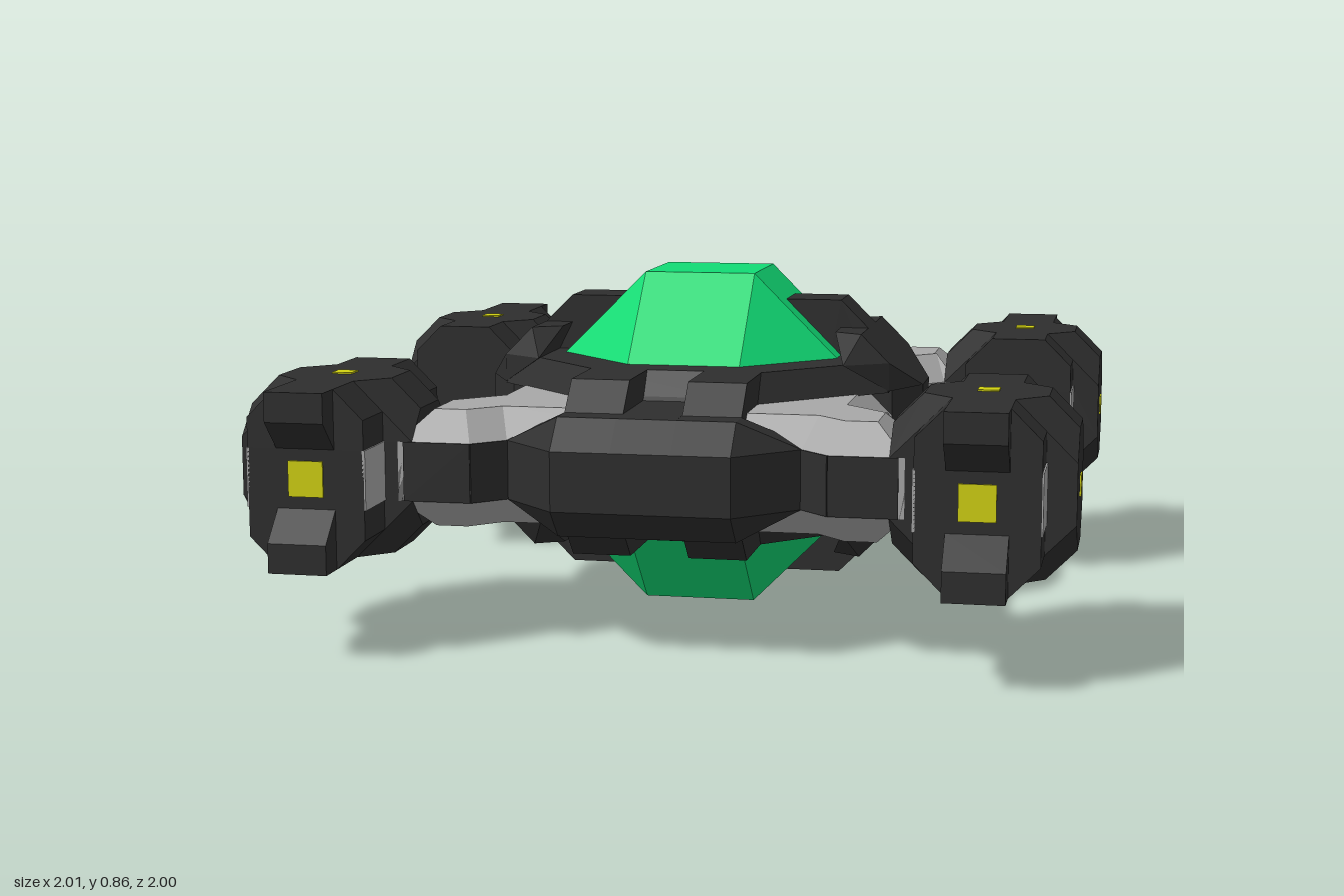
import * as THREE from 'three';
import { ConvexGeometry } from 'three/addons/geometries/ConvexGeometry.js';

// Everything is laid out on a grid of 1/14 unit, centred on the origin.
const mat = (name, color) => {
  const m = new THREE.MeshStandardMaterial({ color });
  m.name = name;
  return m;
};

export function createModel() {
  const black = mat('charcoal', 0x2e2e2e);
  const grey = mat('light grey', 0xa8a8a8);
  const green = mat('green', 0x11db74);
  const yellow = mat('yellow', 0xd2d211);

  const model = new THREE.Group();
  model.name = 'ship';
  const add = (parent, name, geo, material) => {
    const m = new THREE.Mesh(geo, material);
    m.name = name;
    parent.add(m);
    return m;
  };
  const S = [1, -1];
  // Convex solid; 'mirror' lists the axes the points are reflected in
  const hull = (parent, name, pts, mirror, material) => {
    let all = pts.map(p => new THREE.Vector3(...p));
    for (const axis of mirror) {
      all = all.concat(all.filter(p => p[axis] !== 0).map(p => {
        const q = p.clone();
        q[axis] *= -1;
        return q;
      }));
    }
    return add(parent, name, new ConvexGeometry(all), material);
  };
  const box = (parent, name, size, pos, material) => {
    const m = add(parent, name, new THREE.BoxGeometry(...size), material);
    m.position.set(...pos);
    return m;
  };
  const polygon = pts => new THREE.Shape(pts.map(p => new THREE.Vector2(...p)));

  // Bevelled frame plate with the four arms
  const quarter = [[5, 10], [6, 11], [8.5, 11], [8.5, 7], [8, 7], [7, 6]];
  const flip = (pts, a, b) => pts.map(([x, z]) => [x * a, z * b]);
  const outline = [
    ...quarter, ...flip(quarter, 1, -1).reverse(),
    ...flip(quarter, -1, -1), ...flip(quarter, -1, 1).reverse(),
  ];
  const plate = new THREE.ExtrudeGeometry(polygon(outline), {
    depth: 2, bevelEnabled: true, bevelThickness: 1, bevelSize: 1, bevelOffset: -1, bevelSegments: 1,
  });
  plate.translate(0, 0, -1).rotateX(-Math.PI / 2);
  add(model, 'armFrame', plate, grey);

  // Domes and octagonal collars, above and below
  for (const s of S) {
    hull(model, 'dome', [[2, 6 * s, 2], [5, 3 * s, 2], [2, 3 * s, 5]], ['x', 'z'], green);
    hull(model, 'collar', [
      [7, 1.95 * s, 3], [3, 1.95 * s, 7], [6.3, 3 * s, 3], [3, 3 * s, 6.3],
    ], ['x', 'z'], black);
  }

  // Side clamps gripping the domes
  for (const s of S) {
    const clamp = new THREE.ExtrudeGeometry(
      polygon([[3 * s, 5], [5 * s, 5], [8 * s, 2], [8 * s, -2], [5 * s, -5], [3 * s, -5]]),
      { depth: 2, bevelEnabled: false });
    clamp.translate(0, 0, -1);
    add(model, 'clamp', clamp, black);
    for (const v of S) {
      hull(model, 'clampBase', [
        [5 * s, 4 * v, 2.4], [6 * s, 4 * v, 3], [7 * s, 3 * v, 3], [5.5 * s, 3 * v, 4],
        [7 * s, 2 * v, 3], [8 * s, 2 * v, 1],
      ], ['z'], black);
    }
    hull(model, 'clampSide', [[8 * s, 2, 1], [7 * s, 2, 2], [6 * s, 2, 2]], ['y', 'z'], black);
  }

  // Noses: grooved centre slab, two flanking slabs and swept wings
  const slab = (name, half, x0, width, s) => {
    const pts = [...half, ...half.map(([z, y]) => [z, -y]).reverse()];
    const geo = new THREE.ExtrudeGeometry(polygon(pts), { depth: width, bevelEnabled: false });
    geo.rotateY(-Math.PI / 2).translate(x0 + width, 0, 0);
    if (s < 0) geo.rotateY(Math.PI);
    add(model, name, geo, black);
  };
  const solid = [[5, 3], [9, 3], [10, 2], [11, 2], [12, 1]];
  const groove = [[5, 3], [6, 3], [7, 2.02], [11, 2], [12, 1]];
  for (const s of S) {
    slab('noseCentre', groove, -1, 2, s);
    slab('noseFlank', solid, 1, 2, s);
    slab('noseFlank', solid, -3, 2, s);
    for (const v of S) {
      hull(model, 'noseWing', [
        [3 * v, 1, 12 * s], [5 * v, 1, 10 * s], [5 * v, 1, 9 * s], [3 * v, 1, 9 * s],
        [3 * v, 2, 11 * s], [3 * v, 2, 10 * s],
      ], ['y'], black);
      // dark strips on the arm ends
      box(model, 'armStrip', [2.3, 2, 0.1], [7.15 * v, 0, 11 * s], black);
      const corner = box(model, 'armStrip', [1.41, 2, 0.1], [5.5 * v, 0, 10.5 * s], black);
      corner.rotation.y = -Math.PI / 4 * v * s;
    }
  }

  // Pods at the arm tips
  for (const sx of S) for (const sz of S) {
    const pod = new THREE.Group();
    pod.name = 'pod';
    pod.position.set(11 * sx, 0, 9 * sz);
    if (sz < 0) pod.rotation.y = Math.PI;
    model.add(pod);
    hull(pod, 'podCore', [[3, 1, 2], [3, 2, 1], [2, 3, 1], [1, 3, 2]], ['x', 'y', 'z'], black);
    box(pod, 'podBarrel', [4, 2, 8], [0, 0, 0], black);
    for (const v of S) {
      hull(pod, 'podRail', [[2, v, 4], [2, 2 * v, 4], [1, 3 * v, 4]], ['x', 'z'], black);
      hull(pod, 'podProng', [
        [1, v, 4], [1, 3 * v, 4], [1, 3 * v, 5], [1, 2 * v, 5],
      ], ['x'], black);
      for (const e of S) box(pod, 'podPanel', [0.1, 2, 2], [2 * v, 0, 3 * e], grey);
      box(pod, 'sideLight', [0.1, 0.7, 0.7], [3 * v, 0, 0], yellow);
      box(pod, 'capLight', [0.7, 0.1, 0.7], [0, 3 * v, 0], yellow);
    }
    box(pod, 'frontLight', [1.2, 1.2, 0.1], [0, 0, 4], yellow);
  }

  model.scale.setScalar(1 / 14);
  model.position.y = 6 / 14;
  const root = new THREE.Group();
  root.name = 'model';
  root.add(model);
  return root;
}
